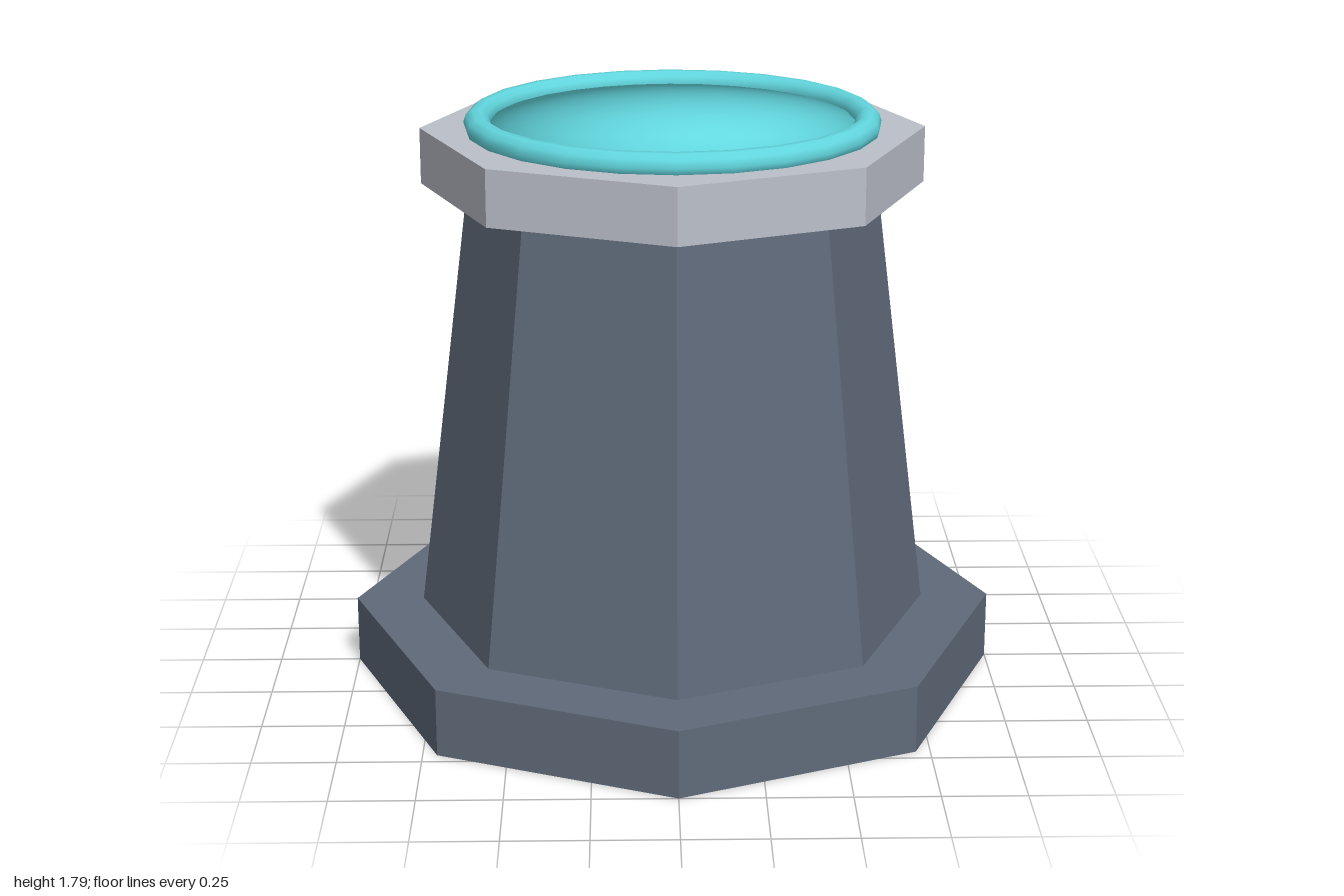
import * as THREE from 'three';

export function createModel() {
  const model = new THREE.Group();
  model.name = 'pedestal';

  const stone = new THREE.MeshStandardMaterial({ color: 0x606a7a });
  stone.name = 'slate stone';
  const metal = new THREE.MeshStandardMaterial({ color: 0xbcc0ca });
  metal.name = 'pale metal';
  const glow = new THREE.MeshStandardMaterial({ color: 0x62d6de });
  glow.name = 'turquoise';
  for (const m of [stone, metal]) m.flatShading = true;

  const add = (name, geometry, material, y) => {
    const mesh = new THREE.Mesh(geometry, material);
    mesh.name = name;
    mesh.position.y = y;
    model.add(mesh);
  };

  // Octagonal tiers, corners on the axes
  const tier = (name, rTop, rBottom, y0, y1, material) =>
    add(name, new THREE.CylinderGeometry(rTop, rBottom, y1 - y0, 8), material, (y0 + y1) / 2);
  tier('base', 1, 1, 0, 0.21, stone);
  tier('column', 0.62, 0.79, 0.21, 1.56, stone);
  tier('collar', 0.76, 0.76, 1.56, 1.73, metal);

  // Round rim lying on the collar
  add('rim', new THREE.TorusGeometry(0.588, 0.04, 10, 24).rotateX(Math.PI / 2), glow, 1.748);

  // Lens: a hemisphere pressed almost flat, keeping its rounded normals
  const lens = new THREE.SphereGeometry(0.58, 32, 12, 0, Math.PI * 2, 0, Math.PI / 2);
  const p = lens.attributes.position;
  for (let i = 0; i < p.count; i++) p.setY(i, p.getY(i) * 0.08);
  add('lens', lens, glow, 1.735);

  return model;
}
